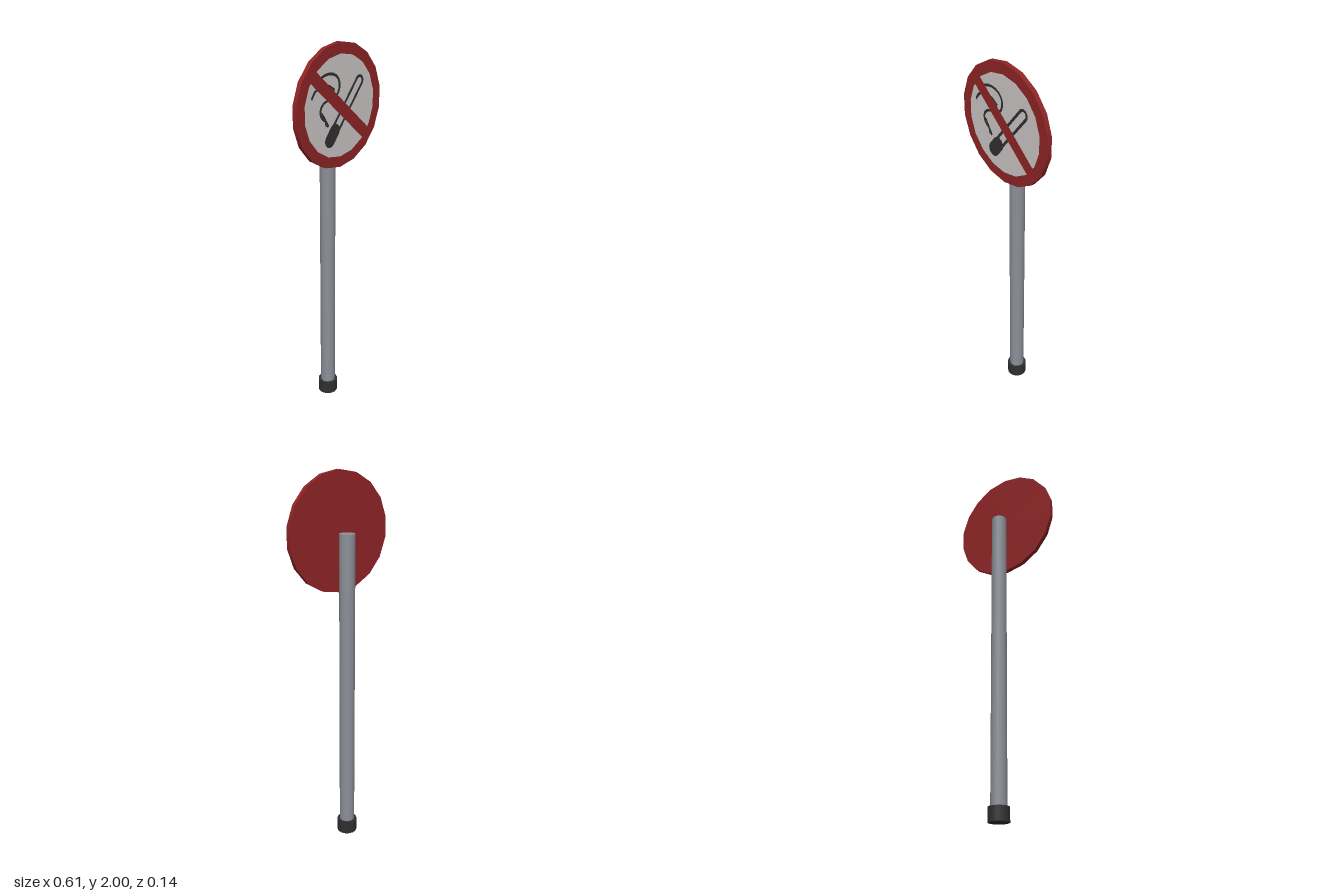
import * as THREE from 'three';

const mat = (name, color) => new THREE.MeshStandardMaterial({ name, color });

const CY = 1.692; // height of the sign's centre

export function createModel() {
  const red = mat('signRed', 0x8f2426);
  const white = mat('signWhite', 0xcbc7c6);
  const grey = mat('poleGrey', 0x8c9098);
  const dark = mat('darkGrey', 0x303031);

  const model = new THREE.Group();
  model.name = 'roundSignOnPole';
  const add = (parent, name, geometry, material, x = 0, y = 0, z = 0) => {
    const mesh = new THREE.Mesh(geometry, material);
    mesh.name = name;
    mesh.position.set(x, y, z);
    parent.add(mesh);
    return mesh;
  };

  // Pole and its foot
  add(model, 'pole', new THREE.CylinderGeometry(0.041, 0.041, 1.69, 14), grey, 0, 0.849, -0.017);
  add(model, 'poleFoot', new THREE.CylinderGeometry(0.054, 0.054, 0.073, 14), dark, 0, 0.0365, -0.017);

  // Sign disc: its red front shows as the border around the white field
  const sign = new THREE.Group();
  sign.name = 'sign';
  sign.position.y = CY;
  model.add(sign);
  const disc = new THREE.CylinderGeometry(0.308, 0.308, 0.0245, 18).rotateX(Math.PI / 2);
  add(sign, 'signDisc', disc, red, 0, 0, 0.0553);
  add(sign, 'whiteField', new THREE.CircleGeometry(0.253, 18, Math.PI / 2), white, 0, 0, 0.0681);

  // Diagonal bar
  const bar = add(sign, 'diagonalBar', new THREE.PlaneGeometry(0.525, 0.062), red, 0, 0, 0.0693);
  bar.rotation.z = -0.717;

  // Stadium outline along +y, from y0 to y1, with half width r
  const stadium = (Type, r, y0, y1) => {
    const s = new Type();
    s.moveTo(r, y0);
    s.lineTo(r, y1);
    s.absarc(0, y1, r, 0, Math.PI, false);
    s.lineTo(-r, y0);
    s.absarc(0, y0, r, Math.PI, Math.PI * 2, false);
    return s;
  };

  // Cigarette: hollow outline with a solid burning end
  const cigarette = new THREE.Group();
  cigarette.name = 'cigarette';
  cigarette.position.set(-0.076, -0.156, 0.0687);
  cigarette.rotation.z = -0.69;
  sign.add(cigarette);
  const outline = stadium(THREE.Shape, 0.031, 0.02, 0.338);
  outline.holes.push(stadium(THREE.Path, 0.017, 0.06, 0.338));
  add(cigarette, 'cigaretteOutline', new THREE.ShapeGeometry(outline, 5), dark);
  const ember = stadium(THREE.Shape, 0.036, 0, 0.055);
  add(cigarette, 'burningEnd', new THREE.ShapeGeometry(ember, 5), dark);

  // Smoke wisps: curved strokes with a width that runs from w0 to w1
  const stroke = (points, w0, w1) => {
    const curve = new THREE.CatmullRomCurve3(points.map(([x, y]) => new THREE.Vector3(x, y, 0)));
    const n = 20, left = [], right = [];
    for (let i = 0; i <= n; i++) {
      const p = curve.getPoint(i / n), t = curve.getTangent(i / n);
      const h = (w0 + (w1 - w0) * i / n) / 2;
      left.push(new THREE.Vector2(p.x - t.y * h, p.y + t.x * h));
      right.unshift(new THREE.Vector2(p.x + t.y * h, p.y - t.x * h));
    }
    return new THREE.ShapeGeometry(new THREE.Shape([...left, ...right]));
  };
  const wisps = [
    [[[-0.148, 0.152], [-0.112, 0.166], [-0.065, 0.167], [-0.024, 0.147], [-0.007, 0.11], [-0.02, 0.068],
      [-0.06, 0.046], [-0.112, 0.04], [-0.143, 0.008], [-0.138, -0.03], [-0.105, -0.056], [-0.088, -0.085]], 0.013, 0.013],
    [[[-0.204, 0.066], [-0.178, 0.1], [-0.14, 0.112], [-0.09, 0.112], [-0.045, 0.085]], 0.012, 0.016],
    [[[-0.135, -0.01], [-0.112, -0.045], [-0.1, -0.08]], 0.01, 0.014],
  ];
  wisps.forEach(([points, w0, w1], i) =>
    add(sign, `smokeWisp${i + 1}`, stroke(points, w0, w1), dark, 0, 0, 0.0687));

  return model;
}
